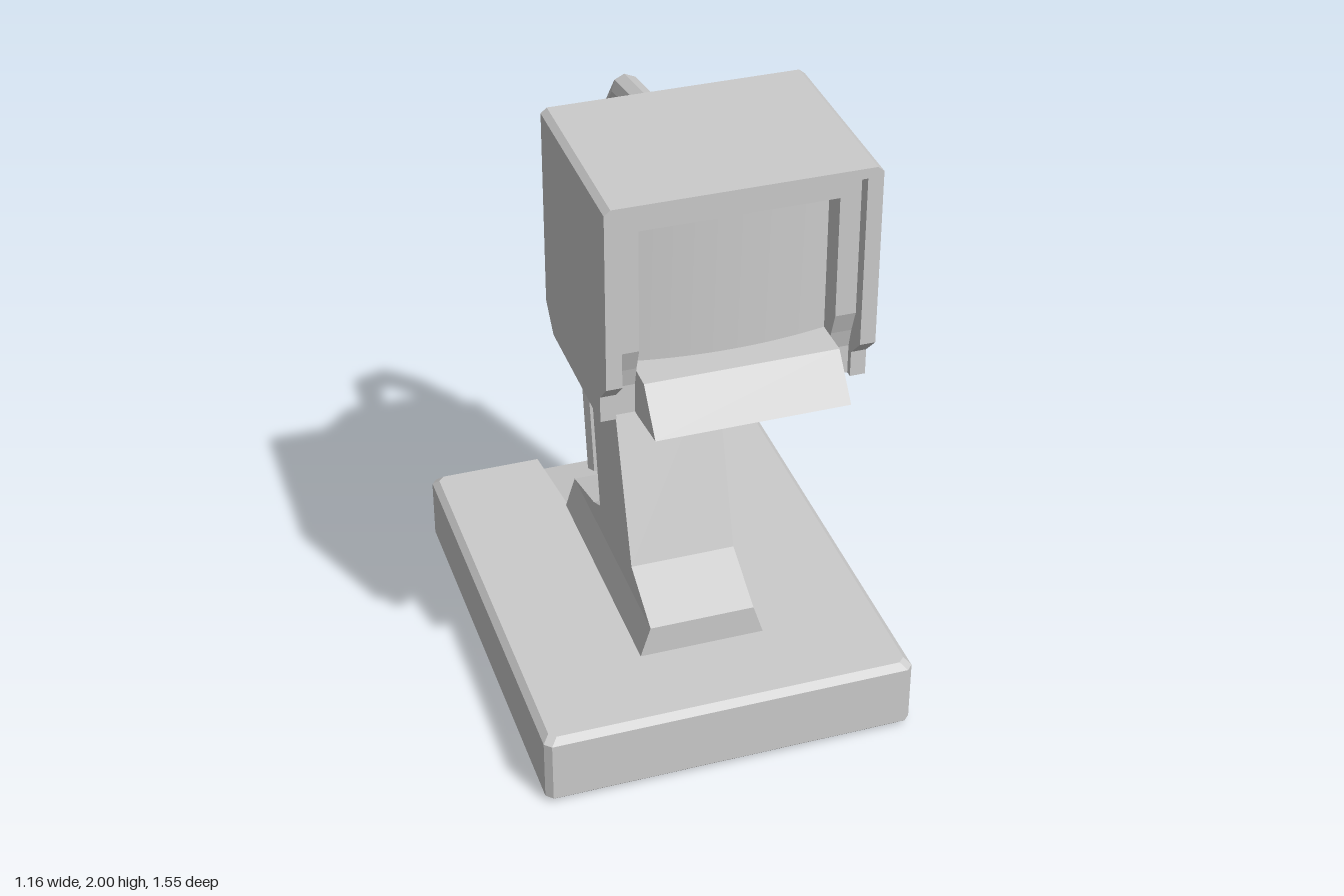
import * as THREE from 'three';

const flat = new THREE.MeshStandardMaterial({ color: 0xcccccc, flatShading: true });
const smooth = new THREE.MeshStandardMaterial({ color: 0xcccccc, side: THREE.DoubleSide });

function add(group, name, geometry, material = flat) {
  const mesh = new THREE.Mesh(geometry, material);
  mesh.name = name;
  group.add(mesh);
  return mesh;
}

// Skin a stack of loops of [x, y, z], each counterclockwise seen from above
function loft(sections, capped) {
  const n = sections[0].length;
  const index = [];
  for (let i = 0; i < sections.length - 1; i++) {
    for (let j = 0; j < n; j++) {
      const a = i * n + j, b = i * n + (j + 1) % n;
      index.push(a, b, b + n, a, b + n, a + n);
    }
  }
  if (capped) {
    const cap = (s) => THREE.ShapeUtils.triangulateShape(s.map(([x, , z]) => new THREE.Vector2(x, -z)), []);
    const top = (sections.length - 1) * n;
    for (const [a, b, c] of cap(sections[0])) index.push(a, c, b);
    for (const [a, b, c] of cap(sections.at(-1))) index.push(top + a, top + b, top + c);
  }
  const geometry = new THREE.BufferGeometry();
  geometry.setAttribute('position', new THREE.Float32BufferAttribute(sections.flat(2), 3));
  geometry.setIndex(index);
  const result = geometry.toNonIndexed();
  result.computeVertexNormals();
  return result;
}

// Extrude a side profile of [z, y] points from x0 to x1
function sideExtrude(points, x0, x1) {
  const shape = new THREE.Shape(points.map(([z, y]) => new THREE.Vector2(z, y)));
  return new THREE.ExtrudeGeometry(shape, { depth: x1 - x0, bevelEnabled: false })
    .rotateY(-Math.PI / 2).translate(x1, 0, 0);
}

// One level of the base outline, with a notch in the back edge
function baseLevel(y, inset, notchOuter, notchInner, notchZ) {
  const x = 0.58 - inset, front = 0.66 - inset, back = -0.74 + inset, c = 0.02;
  const right = [
    [x - c, front], [x, front - c], [x, back + c], [x - c, back],
    [notchOuter, back], [notchInner, notchZ],
  ];
  const left = right.map(([px, pz]) => [-px, pz]).reverse();
  return [...right, ...left].map(([px, pz]) => [px, y, pz]);
}

export function createModel() {
  const model = new THREE.Group();
  model.name = 'deskMonitor';

  // Chamfered base with a sloping cable notch at the back
  add(model, 'base', loft([
    baseLevel(0, 0.02, 0.2, 0.19, -0.72),
    baseLevel(0.02, 0, 0.2, 0.19, -0.74),
    baseLevel(0.18, 0, 0.195, 0.19, -0.74),
    baseLevel(0.22, 0, 0.208, 0.19, -0.54),
    baseLevel(0.24, 0.02, 0.215, 0.19, -0.44),
  ], true));

  // Foot, leaning neck and flared mount: front z, front y, back z, back y, half width
  const neck = [
    [0.37, 0.23, -0.44, 0.23, 0.2],
    [0.37, 0.34, -0.44, 0.34, 0.165],
    [0.28, 0.385, -0.22, 0.4, 0.165],
    [0.18, 0.435, -0.15, 0.435, 0.165],
    [-0.01, 1.03, -0.23, 0.88, 0.165],
    [-0.14, 1.45, -0.285, 1.46, 0.165],
    [-0.11, 1.52, -0.25, 1.69, 0.165],
    [0.09, 1.44, 0.09, 1.91, 0.28],
  ].map(([zf, yf, zb, yb, w]) => [[w, yf, zf], [w, yb, zb], [-w, yb, zb], [-w, yf, zf]]);
  add(model, 'neck', loft(neck, false));

  // Screen housing: core, side panels and chamfered top
  const head = new THREE.Group();
  head.name = 'screenHousing';
  model.add(head);
  add(head, 'housingCore', sideExtrude(
    [[0.16, 1.31], [0.55, 1.31], [0.55, 1.97], [0.09, 1.97], [0.09, 1.385]], -0.34, 0.34));
  const panel = [[0.16, 1.31], [0.62, 1.31], [0.62, 1.39], [0.68, 1.45],
    [0.68, 1.985], [0.09, 1.985], [0.09, 1.385]];
  add(head, 'leftPanel', sideExtrude(panel, 0.34, 0.385));
  add(head, 'rightPanel', sideExtrude(panel, -0.385, -0.34));
  const topShape = new THREE.Shape([
    [-0.34, 1.97], [0.34, 1.97], [0.34, 1.985], [0.385, 1.985],
    [0.367, 2], [-0.367, 2], [-0.385, 1.985], [-0.34, 1.985],
  ].map(([x, y]) => new THREE.Vector2(x, y)));
  add(head, 'topPanel', new THREE.ExtrudeGeometry(topShape, { depth: 0.59, bevelEnabled: false })
    .translate(0, 0, 0.09));

  // Recessed bezel around the screen
  const post = [[0.55, 1.31], [0.6, 1.31], [0.6, 1.4], [0.615, 1.46],
    [0.64, 1.53], [0.64, 1.97], [0.55, 1.97]];
  add(head, 'leftBezel', sideExtrude(post, 0.28, 0.34));
  add(head, 'rightBezel', sideExtrude(post, -0.34, -0.28));
  add(head, 'topBezel', new THREE.BoxGeometry(0.56, 0.07, 0.09).translate(0, 1.935, 0.595));

  // Sloped lip below the screen
  add(head, 'frontLip', sideExtrude(
    [[0.55, 1.31], [0.62, 1.31], [0.78, 1.33], [0.68, 1.45], [0.55, 1.45]], -0.28, 0.28));

  // Gently bulging screen
  const screen = new THREE.PlaneGeometry(0.56, 0.45, 16, 1).translate(0, 1.675, 0);
  const p = screen.attributes.position;
  for (let i = 0; i < p.count; i++) p.setZ(i, 0.59 - 0.35 * p.getX(i) ** 2);
  screen.computeVertexNormals();
  add(head, 'screen', screen, smooth);

  // Cable arching from the mount down into the notch
  const path = new THREE.CatmullRomCurve3([
    [-0.025, 1.79, -0.03], [-0.025, 1.845, -0.12], [-0.025, 1.82, -0.28],
    [-0.02, 1.595, -0.475], [-0.02, 1.275, -0.625], [-0.015, 1.04, -0.682],
    [-0.01, 0.75, -0.72], [-0.005, 0.49, -0.73], [-0.005, 0.19, -0.68],
  ].map((v) => new THREE.Vector3(...v)));
  // Place the rings exactly on the path points
  path.getPointAt = path.getPoint;
  path.getTangentAt = path.getTangent;
  add(model, 'cable', new THREE.TubeGeometry(path, 8, 0.045, 8, false));

  return model;
}
